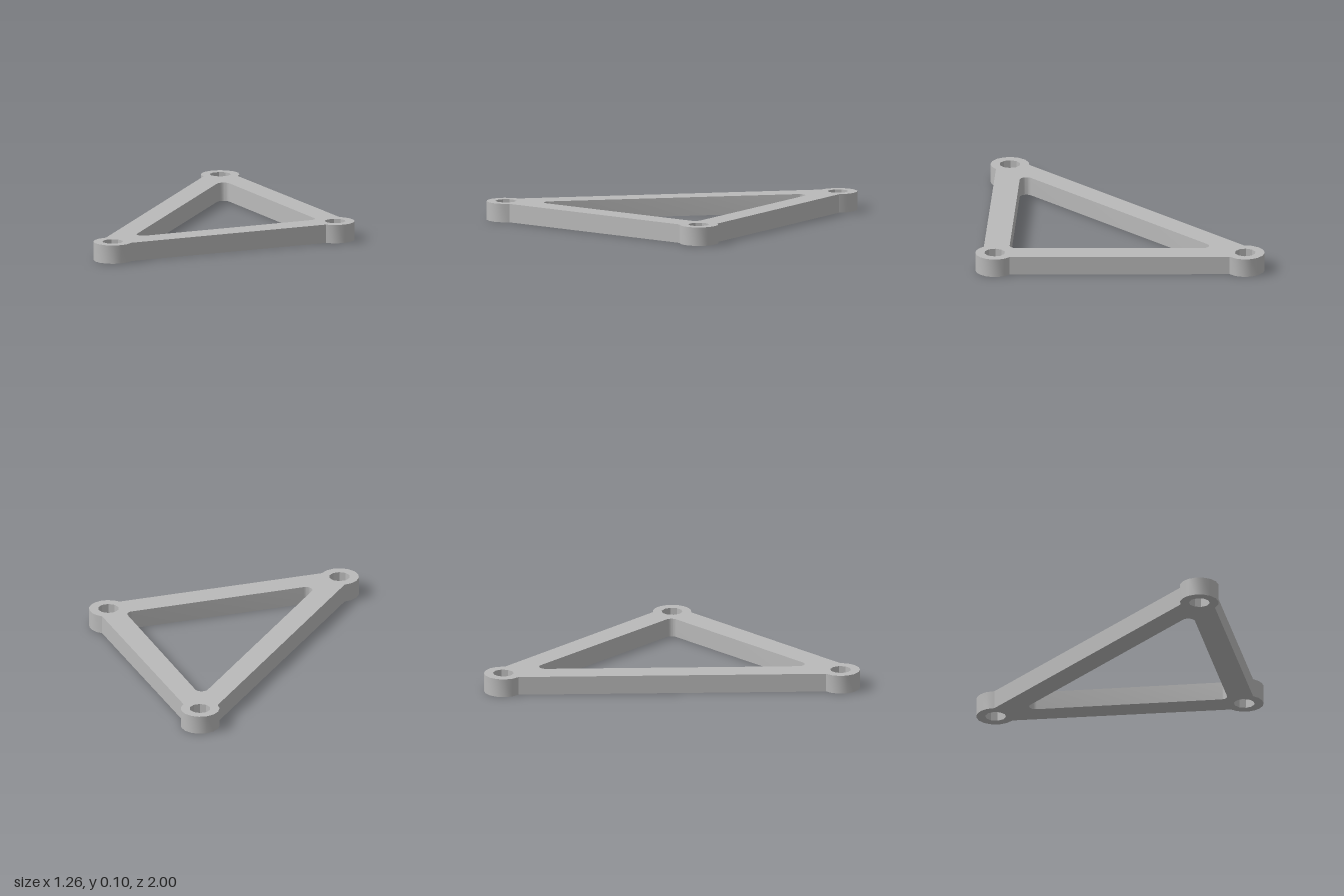
import * as THREE from 'three';
import { toCreasedNormals } from 'three/addons/utils/BufferGeometryUtils.js';

const THICKNESS = 0.1;
const BOSS_RADIUS = 0.104;
const BOLT_RADIUS = 0.056;
const FILLET = 0.036;

// Bosses in plan (x, -z), counter-clockwise; from/to are where the straight edges meet the rim
const BOSSES = [
  { centre: [-0.315, 0.897], from: [-0.217, 0.873], to: [-0.392, 0.826] },
  { centre: [-0.529, -0.893], from: [-0.585, -0.805], to: [-0.43, -0.905] },
  { centre: [0.528, -0.142], from: [0.497, -0.243], to: [0.53, -0.038] },
];

// Sharp corners of the central opening, counter-clockwise
const OPENING = [[-0.273, 0.746], [-0.452, -0.758], [0.428, -0.123]];

const angleFrom = ([ax, ay], [bx, by]) => Math.atan2(by - ay, bx - ax);

// Triangle with rounded corners
function roundedOpening(corners, radius) {
  const path = new THREE.Path();
  const n = corners.length;
  corners.forEach((p, i) => {
    const prev = corners[(i + n - 1) % n];
    const next = corners[(i + 1) % n];
    const toPrev = new THREE.Vector2(prev[0] - p[0], prev[1] - p[1]).normalize();
    const toNext = new THREE.Vector2(next[0] - p[0], next[1] - p[1]).normalize();
    const half = Math.acos(toPrev.dot(toNext)) / 2;
    const c = toPrev.add(toNext).setLength(radius / Math.sin(half));
    path.absarc(p[0] + c.x, p[1] + c.y, radius,
      angleFrom(prev, p) - Math.PI / 2, angleFrom(p, next) - Math.PI / 2, false);
  });
  path.closePath();
  return path;
}

export function createModel() {
  const group = new THREE.Group();
  group.name = 'triangularBracket';

  const grey = new THREE.MeshStandardMaterial({ color: 0xbababa });
  grey.name = 'grey';

  // Outline: boss arcs joined by straight arms
  const outline = new THREE.Shape();
  for (const { centre, from, to } of BOSSES) {
    outline.absarc(centre[0], centre[1], BOSS_RADIUS,
      angleFrom(centre, from), angleFrom(centre, to), false);
  }
  outline.closePath();

  // Central opening and bolt holes
  outline.holes.push(roundedOpening(OPENING, FILLET));
  for (const { centre } of BOSSES) {
    outline.holes.push(new THREE.Path().absarc(centre[0], centre[1], BOLT_RADIUS, 0, Math.PI * 2, false));
  }

  // Lay the plate flat; rims stay smooth, ten-sided bolt holes stay faceted
  const plate = new THREE.ExtrudeGeometry(outline, {
    depth: THICKNESS, bevelEnabled: false, curveSegments: 5,
  });
  plate.rotateX(-Math.PI / 2);
  const frame = new THREE.Mesh(toCreasedNormals(plate, THREE.MathUtils.degToRad(32)), grey);
  frame.name = 'frame';
  group.add(frame);

  return group;
}
